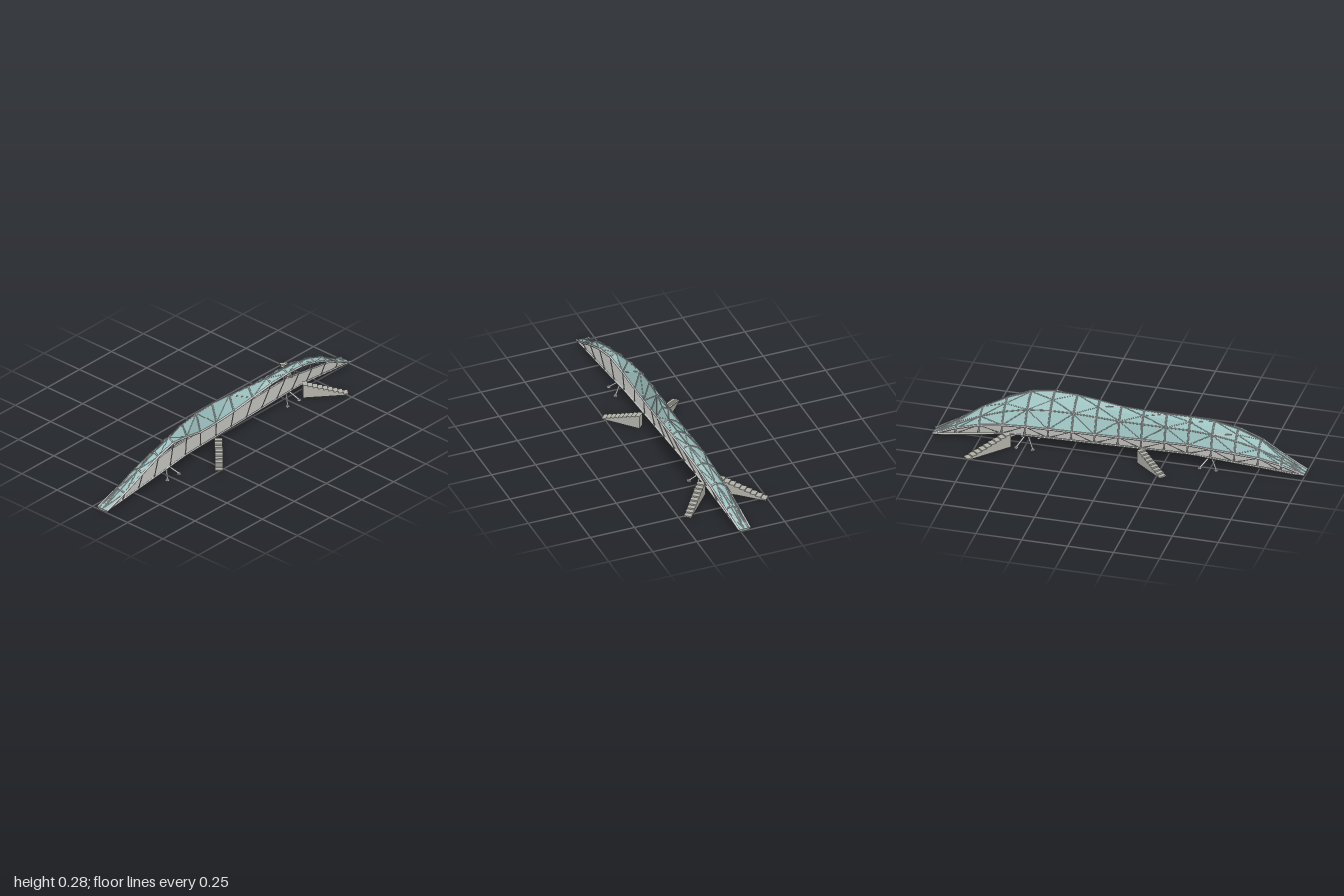
import * as THREE from 'three';
import { mergeGeometries } from 'three/addons/utils/BufferGeometryUtils.js';

const V = (x, y, z) => new THREE.Vector3(x, y, z);

// smooth lookup of nine values spread evenly over x = -1..1
function profile(values) {
  const curve = new THREE.SplineCurve(values.map((v, i) => new THREE.Vector2(i, v)));
  return (x) => curve.getPoint((x + 1) / 2).y;
}
const ridgeY = profile([0.014, 0.155, 0.237, 0.26, 0.264, 0.275, 0.262, 0.163, 0.014]);
const ridgeZ = profile([0.07, 0.097, 0.088, 0.054, 0.062, 0.1, 0.09, 0.037, -0.02]);
const frontY = profile([0.012, 0.142, 0.215, 0.157, 0.178, 0.252, 0.249, 0.148, 0.012]);
const frontZ = profile([0.104, 0.13, 0.12, 0.084, 0.094, 0.133, 0.124, 0.068, 0.01]);

// deck line: slightly skewed in plan, ramped at both ends
const deckY = (x) => Math.min(0.075, 0.012 + 0.105 * (x + 1), 0.012 + 0.147 * (1 - x));
const deckZ = (x) => 0.024 - 0.046 * x;
const deckHalf = (x) => 0.032 + 0.018 * Math.min(1, (1 - Math.abs(x)) * 2);
const deckBack = (x) => V(x, deckY(x), deckZ(x) - deckHalf(x));
const deckFront = (x) => V(x, deckY(x), deckZ(x) + deckHalf(x));

// canopy cross-section, from the lower back edge over the ridge to the front edge
const STOPS = [0, 1 / 3, 0.5, 2 / 3, 1];
const STRIPS = STOPS.length - 1;
function section(x) {
  const taper = Math.min(1, (1 - Math.abs(x)) * 5);
  const b = deckBack(x).add(V(0, 0.042 * taper, 0.012 * taper));
  const r = V(x, ridgeY(x), ridgeZ(x));
  const m = V(x, b.y + 0.57 * (r.y - b.y), b.z + 0.32 * (r.z - b.z));
  const curve = new THREE.CatmullRomCurve3([b, m, r, V(x, frontY(x), frontZ(x))]);
  return STOPS.map((t) => curve.getPoint(t));
}

function strut(a, b, r, sides = 6) {
  const d = b.clone().sub(a);
  const g = new THREE.CylinderGeometry(r, r, d.length(), sides);
  g.applyQuaternion(new THREE.Quaternion().setFromUnitVectors(V(0, 1, 0), d.normalize()));
  const c = a.clone().add(b).multiplyScalar(0.5);
  return g.translate(c.x, c.y, c.z);
}

function surface(triangles) {
  const g = new THREE.BufferGeometry().setFromPoints(triangles);
  g.computeVertexNormals();
  return g;
}

export function createModel() {
  const group = new THREE.Group();
  const metal = new THREE.MeshStandardMaterial({ color: 0xcccccc });
  const stone = new THREE.MeshStandardMaterial({ color: 0xb4b4ac, side: THREE.DoubleSide });
  const deckMat = new THREE.MeshStandardMaterial({ color: 0xa8a8a4 });
  const glass = new THREE.MeshStandardMaterial({ color: 0x9cc2c0, side: THREE.DoubleSide });
  const add = (name, geometry, material) => {
    const mesh = new THREE.Mesh(geometry, material);
    mesh.name = name;
    group.add(mesh);
  };

  // deck: a shallow hull swept along the bridge
  const hull = [];
  const deckSection = (x) => {
    const h = deckHalf(x), z = deckZ(x), y = deckY(x), t = Math.min(0.018, y);
    return [V(x, y, z - h), V(x, y, z + h), V(x, y - t * 0.4, z + h),
      V(x, y - t, z + h * 0.7), V(x, y - t, z - h * 0.7), V(x, y - t * 0.4, z - h)];
  };
  const N = 32;
  for (let i = 0; i < N; i++) {
    const p = deckSection(-1 + (2 * i) / N), q = deckSection(-1 + (2 * (i + 1)) / N);
    for (let j = 0; j < 6; j++) {
      const k = (j + 1) % 6;
      hull.push(p[j], p[k], q[j], p[k], q[k], q[j]);
    }
  }
  const first = deckSection(-1), last = deckSection(1);
  for (let j = 1; j < 5; j++) {
    hull.push(first[0], first[j + 1], first[j], last[0], last[j], last[j + 1]);
  }
  add('deck', surface(hull), deckMat);

  // canopy: triangulated glass with ribs, chords and diagonals
  const BAYS = 16;
  const xs = Array.from({ length: BAYS + 1 }, (_, i) => -1 + (2 * i) / BAYS);
  const rows = xs.map(section);
  const panes = [], ribs = [], chords = [], diagonals = [], hangers = [], curbs = [];
  rows.forEach((p, i) => {
    const x = xs[i];
    if (i > 0 && i < BAYS) {
      for (let j = 0; j < STRIPS; j++) ribs.push(strut(p[j], p[j + 1], 0.0045));
      ribs.push(strut(deckBack(x), p[0], 0.0045));
      hangers.push(strut(deckFront(x), p[STRIPS], 0.003));
    }
    if (i === BAYS) return;
    const q = rows[i + 1], x2 = xs[i + 1];
    for (const j of [0, 1, 3, 4]) chords.push(strut(p[j], q[j], j % STRIPS ? 0.003 : 0.0055));
    for (let j = 0; j < STRIPS; j++) {
      if ((i + j) % 2) {
        panes.push(p[j], p[j + 1], q[j + 1], p[j], q[j + 1], q[j]);
        diagonals.push(strut(p[j], q[j + 1], 0.002, 5));
      } else {
        panes.push(p[j], p[j + 1], q[j], p[j + 1], q[j + 1], q[j]);
        diagonals.push(strut(p[j + 1], q[j], 0.002, 5));
      }
    }
    // bracing in the open gap behind the deck
    diagonals.push(i % 2 ? strut(deckBack(x), q[0], 0.002, 5) : strut(p[0], deckBack(x2), 0.002, 5));
    for (const edge of [deckBack, deckFront]) curbs.push(strut(edge(x), edge(x2), 0.005));
  });
  add('canopyGlass', surface(panes), glass);
  add('canopyRibs', mergeGeometries(ribs), metal);
  add('canopyChords', mergeGeometries(chords), metal);
  add('canopyDiagonals', mergeGeometries(diagonals), metal);
  add('frontHangers', mergeGeometries(hangers), metal);
  add('deckCurbs', mergeGeometries(curbs), metal);

  // splayed supports with round foot pads
  const legs = [], pads = [];
  for (const x of [-0.492, 0.495]) {
    for (const sx of [-1, 1]) for (const sz of [-1, 1]) {
      const foot = V(x + sx * 0.045, 0.004, deckZ(x) + sz * 0.065);
      legs.push(strut(V(x + sx * 0.006, deckY(x) - 0.015, deckZ(x) + sz * 0.02), foot, 0.005, 8));
      pads.push(new THREE.CylinderGeometry(0.01, 0.012, 0.006, 10).translate(foot.x, 0.003, foot.z));
    }
  }
  add('supportLegs', mergeGeometries(legs), metal);
  add('footPads', mergeGeometries(pads), metal);

  // hollow flights of steps, open below: [top x, top z, foot x, foot z]
  const STEPS = 9, W = 0.021;
  const flights = [[-0.125, 0.1, -0.285, 0.248], [-0.125, -0.03, -0.287, -0.163],
    [0.585, -0.05, 0.765, -0.248], [0.585, 0.05, 0.768, 0.206]];
  for (const [x0, z0, x1, z1] of flights) {
    const dx = x1 - x0, dz = z1 - z0, tread = Math.hypot(dx, dz) / STEPS;
    const faces = [];
    const quad = (a, b, c, d) => faces.push(a, b, c, a, c, d);
    const height = (i) => (0.074 * (STEPS - i)) / STEPS;
    for (let i = 0; i < STEPS; i++) {
      const a = i * tread, b = a + tread, h = height(i), low = height(i + 1);
      quad(V(a, h, W), V(b, h, W), V(b, h, -W), V(a, h, -W));
      quad(V(b, low, W), V(b, low, -W), V(b, h, -W), V(b, h, W));
      quad(V(a, 0, W), V(b, 0, W), V(b, h, W), V(a, h, W));
      quad(V(b, 0, -W), V(a, 0, -W), V(a, h, -W), V(b, h, -W));
    }
    quad(V(0, 0, -W), V(0, 0, W), V(0, height(0), W), V(0, height(0), -W));
    const g = surface(faces);
    g.rotateY(Math.atan2(-dz, dx)).translate(x0, 0, z0);
    add('steps', g, stone);
  }
  return group;
}
